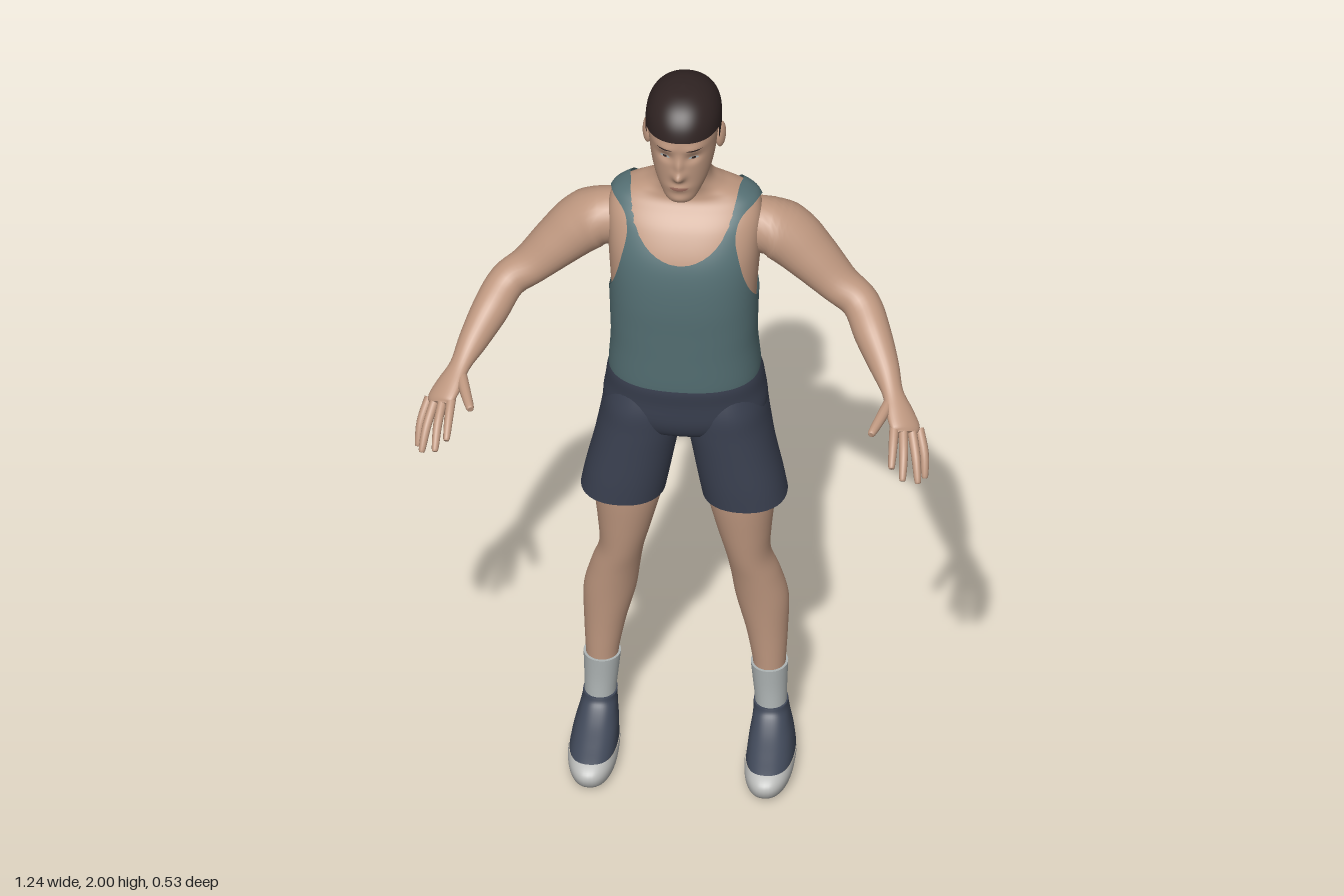
import * as THREE from 'three';

const mat = (name, color) => Object.assign(new THREE.MeshStandardMaterial({ color }), { name });
const V = (x, y, z) => new THREE.Vector3(x, y, z);

// Catmull-Rom through rows of numbers
function smooth(rows, sub) {
  const out = [], n = rows.length - 1;
  const at = i => rows[Math.min(n, Math.max(0, i))];
  for (let i = 0; i < n; i++) for (let s = 0; s < sub; s++) {
    const t = s / sub;
    out.push(rows[i].map((b, k) => {
      const a = at(i - 1)[k], c = at(i + 1)[k], d = at(i + 2)[k];
      return b + 0.5 * t * (c - a + t * (2 * a - 5 * b + 4 * c - d + t * (3 * (b - c) + d - a)));
    }));
  }
  out.push(rows[n]);
  return out;
}

// Closed skin over rings { c, u, v }: centre and two half axes
function loft(rings, { seg = 32, p = 2, shape } = {}) {
  const first = rings[0], last = rings[rings.length - 1];
  const point = r => ({ c: r.c, u: V(0, 0, 0), v: V(0, 0, 0) });
  const all = [point(first), first, ...rings, last, point(last)];
  const pos = [], idx = [], e = 2 / p;
  const pw = a => Math.sign(a) * Math.pow(Math.abs(a), e);
  all.forEach((r, i) => {
    for (let j = 0; j < seg; j++) {
      const t = (j / seg) * Math.PI * 2;
      const q = r.c.clone().addScaledVector(r.u, pw(Math.cos(t))).addScaledVector(r.v, pw(Math.sin(t)));
      if (shape) shape(q);
      pos.push(q.x, q.y, q.z);
      if (i === all.length - 1) continue;
      const a = i * seg + j, b = i * seg + (j + 1) % seg;
      idx.push(a, a + seg, b, b, a + seg, b + seg);
    }
  });
  const g = new THREE.BufferGeometry();
  g.setAttribute('position', new THREE.Float32BufferAttribute(pos, 3));
  g.setIndex(idx);
  g.computeVertexNormals();
  return g;
}

// Upright body: rows [y, centre x, half width, front z, back z]
const upright = (rows, sub, opt) => loft(smooth(rows, sub).map(([y, x, w, f, b]) =>
  ({ c: V(x, y, (f + b) / 2), u: V(w, 0, 0), v: V(0, 0, (f - b) / 2) })), opt);

// Limb along a path: rows [x, y, z, half width along ref, half thickness]
function limb(rows, ref, sub, seg) {
  const r = smooth(rows, sub), c = r.map(q => V(q[0], q[1], q[2]));
  return loft(r.map((q, i) => {
    const t = c[Math.min(i + 1, c.length - 1)].clone().sub(c[Math.max(i - 1, 0)]).normalize();
    const u = ref.clone().addScaledVector(t, -ref.dot(t)).normalize();
    const v = u.clone().cross(t);
    return { c: c[i], u: u.multiplyScalar(q[3]), v: v.multiplyScalar(q[4]) };
  }), { seg });
}

// Part of a surface where f > 0, pushed out along its normals
function clip(geo, f, out = 0) {
  const g = geo.toNonIndexed(), P = g.attributes.position, N = g.attributes.normal;
  const pos = [], nor = [];
  for (let i = 0; i < P.count; i += 3) {
    const tri = [0, 1, 2].map(k => {
      const q = new THREE.Vector3().fromBufferAttribute(P, i + k);
      return { q, n: new THREE.Vector3().fromBufferAttribute(N, i + k), d: f(q) };
    });
    const poly = [];
    tri.forEach((a, k) => {
      const b = tri[(k + 1) % 3];
      if (a.d > 0) poly.push(a);
      if (a.d > 0 !== b.d > 0) {
        const t = a.d / (a.d - b.d);
        poly.push({ q: a.q.clone().lerp(b.q, t), n: a.n.clone().lerp(b.n, t) });
      }
    });
    for (let k = 2; k < poly.length; k++) for (const w of [poly[0], poly[k - 1], poly[k]]) {
      const n = w.n.clone().normalize();
      pos.push(...w.q.clone().addScaledVector(n, out).toArray());
      nor.push(...n.toArray());
    }
  }
  const r = new THREE.BufferGeometry();
  r.setAttribute('position', new THREE.Float32BufferAttribute(pos, 3));
  r.setAttribute('normal', new THREE.Float32BufferAttribute(nor, 3));
  return r;
}

export function createModel() {
  const model = new THREE.Group();
  model.name = 'athlete';
  const skin = mat('skin', 0xbf9880), hair = mat('hair', 0x2f2322), shirt = mat('shirt', 0x557074);
  const navy = mat('shorts', 0x3a4050), shoeBlue = mat('shoe', 0x3f4757), sockGrey = mat('sock', 0xaeb4b4);
  const soleGrey = mat('sole', 0xb9bab8), lip = mat('lips', 0x9c6c5e);
  shirt.side = hair.side = THREE.DoubleSide;
  const add = (name, geo, m) => {
    const mesh = new THREE.Mesh(geo, m);
    mesh.name = name;
    model.add(mesh);
    return mesh;
  };

  // Torso and neck
  const torso = upright([
    [1.13, 0, .172, .012, -.236], [1.16, 0, .176, .02, -.237], [1.25, 0, .17, .027, -.222],
    [1.32, 0, .171, .032, -.22], [1.4, 0, .174, .037, -.23], [1.48, 0, .18, .034, -.244],
    [1.54, 0, .184, .02, -.245], [1.6, 0, .186, -.012, -.235], [1.64, 0, .176, -.045, -.215],
    [1.66, 0, .155, -.06, -.203], [1.675, 0, .125, -.064, -.194], [1.692, 0, .09, -.062, -.184],
    [1.72, 0, .066, -.053, -.172], [1.77, 0, .061, -.045, -.165], [1.82, 0, .058, -.05, -.155],
  ], 6, { seg: 80, p: 2.4 });
  add('torso', torso, skin);

  // Tank top with scooped neck and armholes
  const blend = THREE.MathUtils.smoothstep;
  add('tankTop', clip(torso, q => {
    const ax = Math.abs(q.x), k = blend(q.z, -.16, -.1);
    const front = 1.533 + .06 * (ax / .11) ** 2 + .07 * (ax / .13) ** 8;
    const back = 1.6 + .06 * (ax / .13) ** 4;
    const neck = back + (front - back) * k - q.y;
    const arm = ax > .1 ? ((q.z + .11) / .1) ** 2 + ((q.y - 1.515) / .13) ** 2 - 1 : 1;
    return Math.min(q.y - 1.157, neck, arm * .1);
  }, .006), shirt);

  // Shorts: hips
  add('shortsHips', upright([
    [1.18, 0, .17, .015, -.235], [1.145, 0, .184, .02, -.25], [1.1, 0, .191, .014, -.262],
    [1.04, 0, .196, .008, -.254], [1.0, 0, .165, -.01, -.215], [.985, 0, .1, -.04, -.17],
  ].reverse(), 5, { seg: 56, p: 2.3 }), navy);

  // Head with sculpted face
  const bump = (q, x, y, sx, sy) => Math.exp(-(((Math.abs(q.x) - x) / sx) ** 2) - ((q.y - y) / sy) ** 2);
  const head = upright([
    [1.714, 0, .016, .006, -.03], [1.722, 0, .036, .02, -.06], [1.75, 0, .056, .026, -.135],
    [1.78, 0, .068, .028, -.162], [1.82, 0, .077, .031, -.185], [1.86, 0, .082, .033, -.197],
    [1.9, 0, .085, .034, -.2], [1.94, 0, .081, .024, -.193], [1.97, 0, .064, .001, -.168],
    [1.988, 0, .036, -.033, -.13], [1.994, 0, .004, -.075, -.085],
  ], 8, { seg: 112, p: 2.2, shape: q => {
    if (q.z < -.04) return;
    q.z += .02 * bump(q, 0, 1.805, .014, .014) + .011 * bump(q, 0, 1.835, .01, .024)
      - .009 * bump(q, .034, 1.857, .018, .012) + .004 * bump(q, .034, 1.885, .026, .01)
      + .006 * bump(q, 0, 1.768, .024, .011) + .004 * bump(q, 0, 1.733, .022, .011);
  } });
  add('head', head, skin);

  // Hair cut along a hairline of [z, y] points
  const line = [[-.3, 1.757], [-.15, 1.757], [-.118, 1.8], [-.105, 1.885], [-.08, 1.885],
    [-.076, 1.86], [-.056, 1.865], [-.048, 1.905], [.2, 1.914]];
  const hairline = z => {
    const i = Math.max(1, line.findIndex(a => a[0] > z)), [a, b] = [line[i - 1], line[i]];
    return a[1] + (b[1] - a[1]) * (z - a[0]) / (b[0] - a[0]);
  };
  add('hair', clip(head, q => q.y - hairline(q.z), .006), hair);

  // Painted face details
  const patch = (name, x, y, rx, ry, out, m) => add(name, clip(head, q => q.z < -.03 ? -1 :
    1 - ((Math.abs(q.x) - x) / rx) ** 2 - ((q.y - y) / ry) ** 2, out), m);
  patch('eyebrows', .036, 1.884, .021, .003, .0015, hair);
  patch('eyes', .034, 1.857, .014, .0045, .001, sockGrey);
  patch('irises', .034, 1.857, .006, .0045, .002, hair);
  patch('lips', 0, 1.768, .023, .005, .001, lip);

  for (const s of [1, -1]) {
    const side = s > 0 ? 'left' : 'right';
    const flip = rows => rows.map(([x, ...r]) => [x * s, ...r]);
    const flipC = rows => rows.map(([y, x, ...r]) => [y, x * s, ...r]);
    const spread = V(.84 * s, -.35, -.42);

    // Ear
    const ear = add(side + 'Ear', new THREE.SphereGeometry(1, 16, 12), skin);
    ear.scale.set(.011, .034, .02);
    ear.position.set(.088 * s, 1.852, -.09);
    ear.rotation.set(-.15, -.35 * s, 0);

    // Arm running into the palm
    add(side + 'Arm', limb(flip([
      [.11, 1.555, -.14, .06, .065], [.2, 1.55, -.14, .077, .07], [.25, 1.525, -.138, .076, .067],
      [.305, 1.475, -.128, .066, .058], [.37, 1.412, -.112, .053, .046], [.425, 1.372, -.09, .047, .045],
      [.46, 1.327, -.03, .044, .046], [.495, 1.276, .03, .035, .036], [.52, 1.243, .085, .027, .022],
      [.541, 1.215, .125, .037, .02], [.558, 1.194, .156, .04, .016], [.563, 1.187, .168, .028, .009],
    ]), spread, 5, 28), skin);

    // Fingers and thumb
    const digits = {
      Index: [.532, 1.206, .158, .534, 1.18, .205, .535, 1.146, .252],
      Middle: [.553, 1.195, .16, .56, 1.16, .215, .562, 1.116, .257],
      Ring: [.573, 1.185, .152, .588, 1.14, .2, .596, 1.093, .233],
      Pinky: [.589, 1.178, .135, .605, 1.13, .17, .609, 1.082, .195],
      Thumb: [.516, 1.232, .105, .5, 1.222, .16, .483, 1.212, .212],
    };
    for (const [name, d] of Object.entries(digits)) {
      const r = name === 'Thumb' ? .014 : .0115, e = [6, 7, 8].map(k => d[k] + (d[k] - d[k - 3]) * .08);
      add(side + name, limb(flip([[...d.slice(0, 3), r, r], [...d.slice(3, 6), r * .95, r * .95],
        [...d.slice(6), r * .7, r * .7], [...e, r * .2, r * .2]]), spread, 4, 12), skin);
    }

    // Shorts leg
    add(side + 'ShortsLeg', upright(flipC([
      [.792, .146, .102, .004, -.2], [.85, .135, .102, .006, -.203], [.93, .118, .1, .006, -.215],
      [1.0, .104, .1, .006, -.24], [1.06, .098, .095, .005, -.255], [1.12, .092, .08, -.01, -.235],
    ]), 5, { seg: 40, p: 2.2 }), navy);

    // Bare leg
    add(side + 'Leg', upright(flipC([
      [.24, .201, .038, -.09, -.172], [.28, .2, .041, -.088, -.176], [.36, .194, .051, -.083, -.192],
      [.45, .183, .063, -.074, -.205], [.53, .168, .059, -.062, -.195], [.6, .152, .054, -.048, -.18],
      [.68, .143, .066, -.035, -.182], [.78, .136, .083, -.022, -.19], [.86, .134, .086, -.02, -.195],
    ]), 5, { seg: 32 }), skin);

    // Sock
    add(side + 'Sock', upright(flipC([
      [.09, .206, .036, -.08, -.17], [.15, .205, .038, -.084, -.17], [.2, .203, .041, -.085, -.174],
      [.258, .201, .045, -.082, -.181],
    ]), 4, { seg: 28 }), sockGrey);

    // Shoe, split along the rising sole line
    const shoe = upright(flipC([
      [0, .21, .044, .07, -.18], [.012, .211, .054, .09, -.193], [.035, .212, .058, .097, -.198],
      [.055, .212, .056, .08, -.197], [.08, .21, .052, .025, -.193], [.105, .208, .046, -.03, -.188],
      [.13, .206, .042, -.07, -.18], [.148, .205, .041, -.08, -.175],
    ]), 6, { seg: 48, p: 2.3 });
    const above = q => q.y - (.028 + .12 * (q.z + .2));
    add(side + 'ShoeUpper', clip(shoe, above), shoeBlue);
    add(side + 'ShoeSole', clip(shoe, q => -above(q), .002), soleGrey);
  }
  return model;
}
